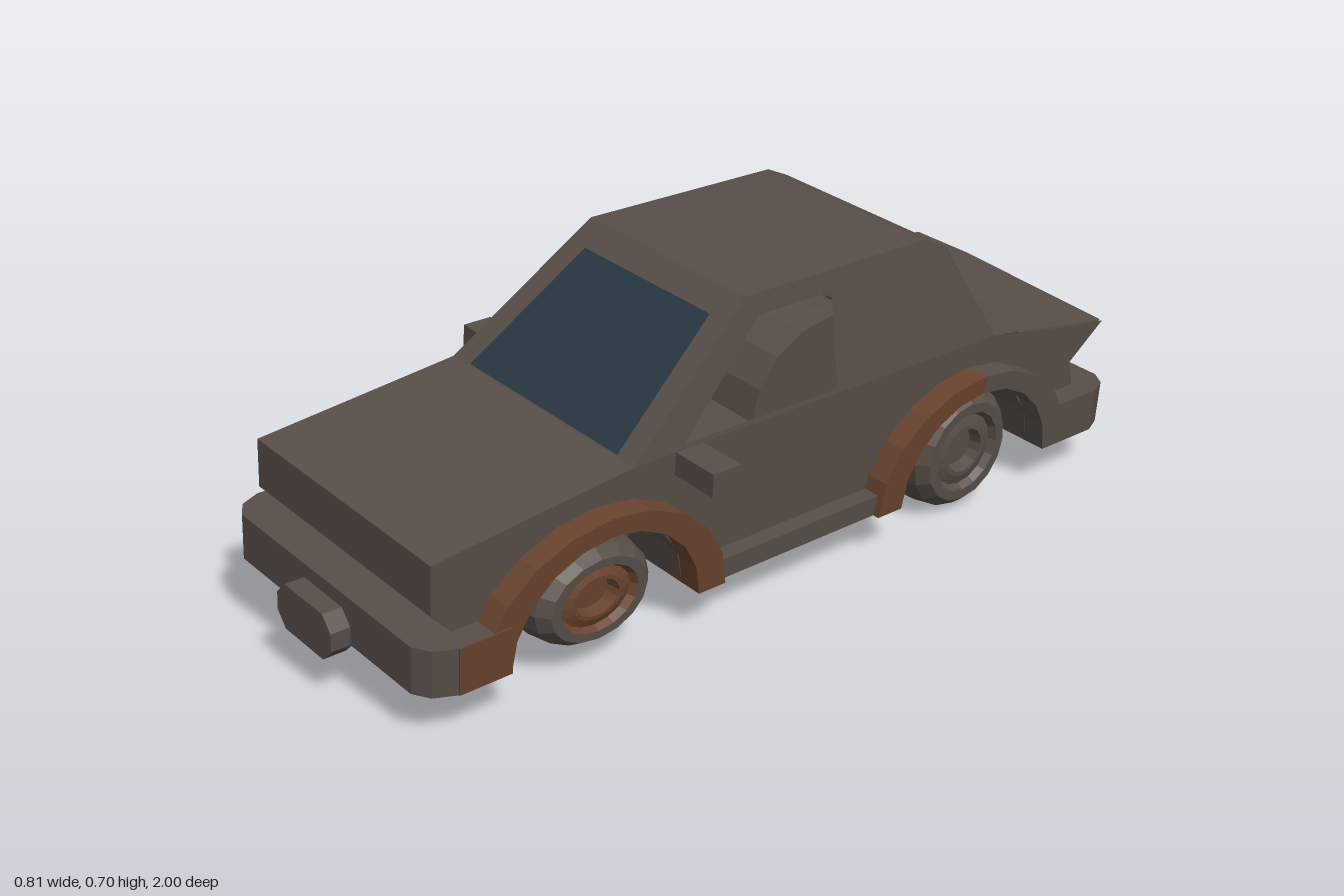
import * as THREE from 'three';

const mat = (name, color) => new THREE.MeshStandardMaterial({ name, color, flatShading: true, side: THREE.DoubleSide });
const V2 = (p) => new THREE.Vector2(p[0], p[1]);
const FLOOR = 0.122, BELT = 0.428, ROOF = 0.684, SIDE = 0.292;
const WHEELS = { front: 0.54, rear: -0.495 };

export function createModel() {
  const paint = mat('weathered brown', 0x574d47);
  const rust = mat('rust', 0x69432e);
  const glass = mat('dark glass', 0x283741);

  const car = new THREE.Group();
  car.name = 'car';
  const add = (name, geo, m = paint) => {
    const mesh = new THREE.Mesh(geo, m);
    mesh.name = name;
    car.add(mesh);
    return mesh;
  };
  const box = (name, x0, x1, y0, y1, z0, z1, m) => {
    const g = new THREE.BoxGeometry(Math.abs(x1 - x0), y1 - y0, Math.abs(z1 - z0));
    return add(name, g.translate((x0 + x1) / 2, (y0 + y1) / 2, (z0 + z1) / 2), m);
  };
  const shapeOf = (pts, hole) => {
    const s = new THREE.Shape(pts.map(V2));
    if (hole) s.holes.push(new THREE.Path(hole.map(V2)));
    return s;
  };
  // flat sheet drawn in 2D, then laid in place by a mapping (a, b) -> [x, y, z]
  const sheet = (name, pts, hole, map, m) => {
    const g = new THREE.ShapeGeometry(shapeOf(pts, hole)).toNonIndexed();
    const p = g.attributes.position;
    for (let i = 0; i < p.count; i++) p.setXYZ(i, ...map(p.getX(i), p.getY(i)));
    g.computeVertexNormals();
    return add(name, g, m);
  };
  const polygon = (name, corners, m) => {
    const pos = [];
    for (let i = 1; i < corners.length - 1; i++) pos.push(...corners[0], ...corners[i], ...corners[i + 1]);
    const g = new THREE.BufferGeometry();
    g.setAttribute('position', new THREE.Float32BufferAttribute(pos, 3));
    g.computeVertexNormals();
    return add(name, g, m);
  };
  // points on a wheel arch, from angle a0 to a1
  const arc = (z, rz, ry, a0, a1, n) => Array.from({ length: n + 1 }, (_, i) => {
    const a = a0 + (a1 - a0) * i / n;
    return [z + rz * Math.cos(a), FLOOR + ry * Math.sin(a)];
  });
  // (z, y) outline extruded across x
  const across = (name, pts, x0, x1, m) => {
    const g = new THREE.ExtrudeGeometry(shapeOf(pts), { depth: Math.abs(x1 - x0), bevelEnabled: false });
    return add(name, g.rotateY(-Math.PI / 2).translate(Math.max(x0, x1), 0, 0), m);
  };

  // strips across the car: [name, start (z, y, half width), end, optional window (t0, w0, t1, w1)]
  const strips = [
    ['noseLower', [0.87, 0.223, 0.275], [0.915, 0.272, SIDE]],
    ['noseFace', [0.915, 0.272, SIDE], [0.915, 0.378, SIDE]],
    ['hood', [0.915, 0.378, SIDE], [0.45, BELT, SIDE]],
    ['windshieldFrame', [0.45, BELT, SIDE], [0.14, ROOF, 0.24], [0.01, 0.238, 0.84, 0.195]],
    ['roof', [0.14, ROOF, 0.24], [-0.365, ROOF, 0.24]],
    ['roofRearEdge', [-0.365, ROOF, 0.24], [-0.43, 0.655, 0.246]],
    ['rearWindowFrame', [-0.43, 0.655, 0.246], [-0.57, BELT, SIDE], [0.12, 0.19, 0.86, 0.24]],
  ];
  for (const [name, a, b, w] of strips) {
    const map = (x, t) => [x, a[1] + (b[1] - a[1]) * t, a[0] + (b[0] - a[0]) * t];
    const hole = w && [[-w[1], w[0]], [w[1], w[0]], [w[3], w[2]], [-w[3], w[2]]];
    sheet(name, [[-a[2], 0], [a[2], 0], [b[2], 1], [-b[2], 1]], hole, map);
    if (name === 'windshieldFrame') sheet('windshield', hole, null, map, glass);
  }

  // tail, with its left corner crumpled
  const A = [-SIDE, BELT, -0.57], B = [SIDE, BELT, -0.57], C = [-SIDE, 0.378, -0.95];
  const M = [-0.14, 0.378, -0.955], D = [0.28, 0.38, -0.83], E = [0.285, 0.364, -0.95];
  const F = [-SIDE, 0.272, -0.95], G = [0.285, 0.285, -0.85], H = [-0.275, 0.223, -0.87], I = [0.275, 0.223, -0.87];
  polygon('trunkLid', [A, B, D, M, C]);
  polygon('trunkDent', [M, D, E]);
  polygon('tailFace', [F, C, M, E, G]);
  polygon('tailLower', [F, G, I, H]);

  const windowOutline = [[0.32, 0.438], [0.11, 0.64], [-0.09, 0.64], [-0.09, 0.438]];
  for (const s of [1, -1]) {
    const side = s > 0 ? 'left' : 'right';
    // lower flank with both wheel arches cut out
    const tail = s > 0 ? [[-0.83, 0.38], [-0.95, 0.364], [-0.85, 0.285]] : [[-0.95, 0.378], [-0.95, 0.272]];
    sheet(side + 'Flank', [
      [0.87, FLOOR], [0.87, 0.223], [0.915, 0.272], [0.915, 0.378], [0.45, BELT], [-0.57, BELT],
      ...tail, [-0.87, 0.223], [-0.87, FLOOR],
      ...arc(WHEELS.rear, 0.23, 0.21, Math.PI, 0, 8),
      ...arc(WHEELS.front, 0.23, 0.21, Math.PI, 0, 8),
    ], null, (z, y) => [s * SIDE, y, z]);

    // cabin side leaning inwards; the left window is missing its glass
    const lean = (z, y) => [s * (SIDE - 0.052 * (y - BELT) / (ROOF - BELT)), y, z];
    sheet(side + 'CabinSide',
      [[0.45, BELT], [0.14, ROOF], [-0.365, ROOF], [-0.43, 0.655], [-0.57, BELT]], windowOutline, lean);
    if (s < 0) sheet('rightWindow', windowOutline, null, lean, glass);

    box(side + 'Sill', s * 0.27, s * 0.33, FLOOR, 0.167, -0.22, 0.27);
    box(side + 'Mirror', s * 0.27, s * 0.402, 0.378, BELT, 0.275, 0.345);
    box(side + 'MirrorGlass', s * 0.31, s * 0.395, 0.383, 0.423, 0.271, 0.275, glass);

    for (const [end, z] of Object.entries(WHEELS)) {
      // flares in two halves, some rusted
      const rustyFront = s > 0;
      const rustyRear = end === 'front' && s > 0;
      [[0, rustyFront], [Math.PI / 2, rustyRear]].forEach(([a, rusty]) => across(end + side + 'Flare', [
        ...arc(z, 0.3, 0.25, a, a + Math.PI / 2, 5),
        ...arc(z, 0.23, 0.21, a + Math.PI / 2, a, 5),
      ], s * 0.27, s * 0.345, rusty ? rust : paint));

      // wheel well: arched lining and inner wall
      const well = new THREE.CylinderGeometry(1, 1, 0.16, 8, 1, true, 0, Math.PI);
      well.rotateZ(Math.PI / 2).scale(1, 0.21, 0.23);
      add(end + side + 'Well', well.translate(s * 0.21, FLOOR, z));
      sheet(end + side + 'WellWall', arc(z, 0.23, 0.21, 0, Math.PI, 8), null, (c, y) => [s * 0.13, y, c]);

      // wheel: tyre, rim and sunken hub; the front left one is squashed
      const wheel = new THREE.Group();
      wheel.name = end + side + 'Wheel';
      const turned = (name, pts, m) => {
        const g = new THREE.LatheGeometry(pts.map(V2), 16).rotateZ(-s * Math.PI / 2);
        const mesh = new THREE.Mesh(g, m);
        mesh.name = name;
        wheel.add(mesh);
      };
      turned('tyre', [[0, -0.085], [0.115, -0.085], [0.14, -0.06], [0.152, 0], [0.14, 0.06], [0.118, 0.085], [0.095, 0.085]], paint);
      turned('rim', [[0.095, 0.085], [0.085, 0.07], [0.062, 0.078], [0.052, 0.078], [0.046, 0.05], [0, 0.05]],
        end === 'front' ? rust : paint);
      wheel.position.set(s * 0.232, 0.175, z);
      if (end === 'front' && s > 0) {
        wheel.scale.y = 0.75;
        wheel.position.y = 0.181;
      }
      car.add(wheel);
    }
  }

  // floor plate with wheel notches
  const right = [
    [0.3, -0.9], [0.3, -0.725], [0.13, -0.725], [0.13, -0.265], [0.3, -0.265],
    [0.3, 0.31], [0.13, 0.31], [0.13, 0.77], [0.3, 0.77], [0.3, 0.9],
  ];
  const mirrored = right.map(([x, z]) => [-x, z]).reverse();
  sheet('floor', [...right, ...mirrored], null, (x, z) => [x, FLOOR + 0.003, z]);

  // wrap-round bumpers with cut corners, and the small block on each
  for (const [end, e, back] of [['front', 1, 0.77], ['rear', -1, 0.725]]) {
    const half = [[0.345, back], [0.345, 0.89], [0.325, 0.935], [0.29, 0.957]];
    const outline = [...half, ...half.map(([x, z]) => [-x, z]).reverse()].map(([x, z]) => [x, -e * z]);
    const bumper = new THREE.ExtrudeGeometry(shapeOf(outline), { depth: 0.101, bevelEnabled: false });
    add(end + 'Bumper', bumper.rotateX(-Math.PI / 2).translate(0, FLOOR, 0));

    const plate = [[-0.093, 0.02], [-0.065, 0.05], [0.065, 0.05], [0.093, 0.02],
      [0.093, -0.02], [0.065, -0.05], [-0.065, -0.05], [-0.093, -0.02]];
    const block = new THREE.ExtrudeGeometry(shapeOf(plate), { depth: 0.05, bevelEnabled: false });
    add(end + 'BumperBlock', block.translate(0, 0.142, e > 0 ? 0.95 : -1));

    // rust on the bumper ends
    const rs = e;
    box(end + 'BumperRust', rs * 0.344, rs * 0.348, FLOOR, 0.223, e * back, e * 0.89, rust);
  }

  // the whole car leans to its left
  car.position.x = -0.036;
  const lean = new THREE.Group();
  lean.name = 'wreckedCar';
  lean.add(car);
  lean.rotation.z = -5 * Math.PI / 180;
  const model = new THREE.Group();
  model.add(lean);
  return model;
}
